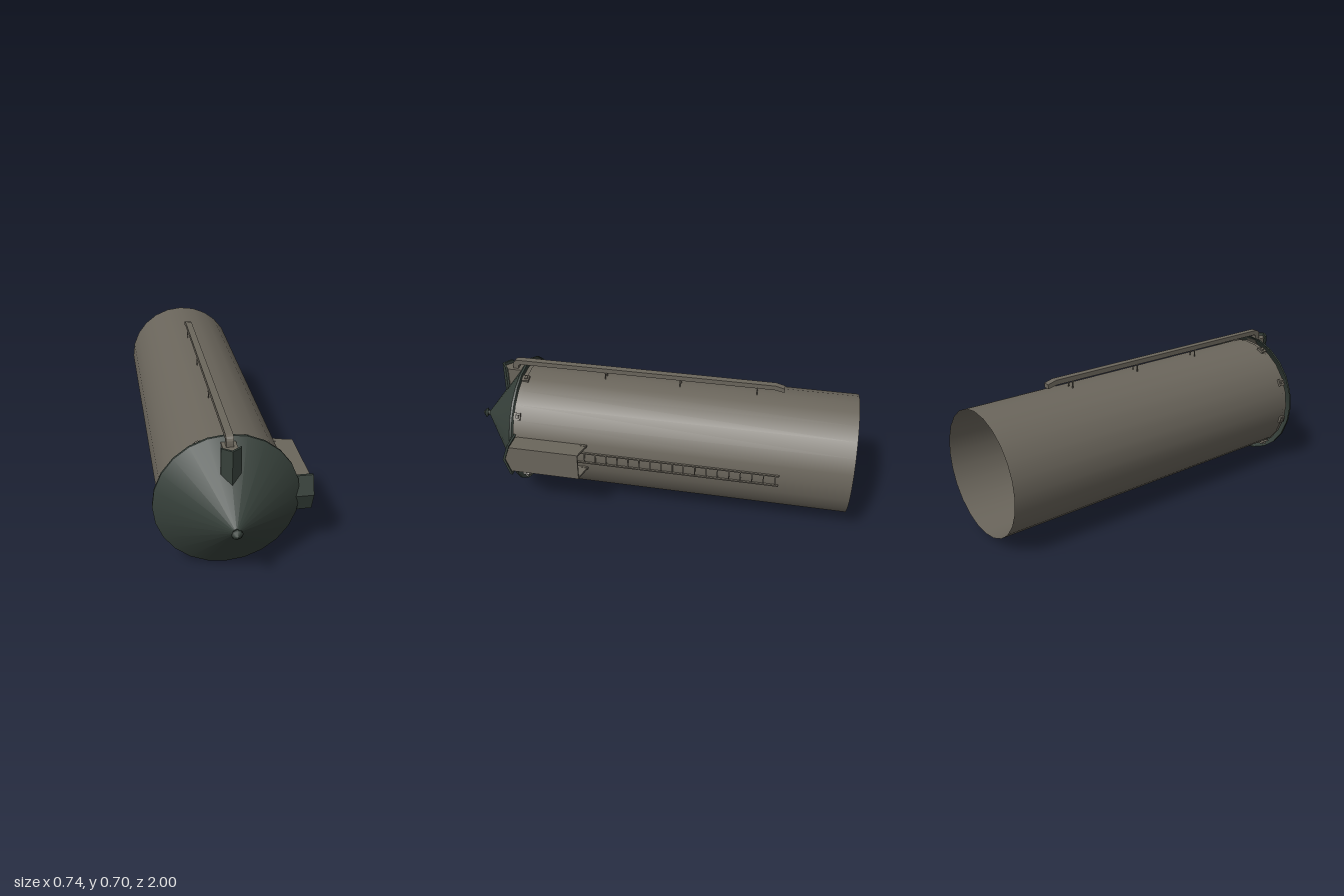
import * as THREE from 'three';

export function createModel() {
  const model = new THREE.Group();
  model.name = 'silo';
  // Silo lies along z: everything is built around its own axis
  const silo = new THREE.Group();
  silo.name = 'siloBody';
  silo.position.set(-0.033, 0.338, 0);
  model.add(silo);

  const metal = new THREE.MeshStandardMaterial({ color: 0x6b665c, side: THREE.DoubleSide });
  metal.name = 'weathered metal';
  const green = new THREE.MeshStandardMaterial({ color: 0x36403a, side: THREE.DoubleSide });
  green.name = 'dark green roof';

  const add = (name, geo, mat, parent = silo) => {
    const mesh = new THREE.Mesh(geo, mat);
    mesh.name = name;
    parent.add(mesh);
    return mesh;
  };
  const box = (name, size, pos, mat, parent) =>
    add(name, new THREE.BoxGeometry(...size), mat, parent).position.set(...pos);
  const shapeOf = pts => new THREE.Shape(pts.map(p => new THREE.Vector2(...p)));
  // Section in (x, z), running along y
  const prism = (pts, y0, y1) =>
    new THREE.ExtrudeGeometry(shapeOf(pts), { depth: y1 - y0, bevelEnabled: false })
      .rotateX(Math.PI / 2).translate(0, y1, 0);
  // Profile in (z, y), with thickness w across x
  const slab = (shape, w, x = 0) =>
    new THREE.ExtrudeGeometry(shape, { depth: w, bevelEnabled: false, curveSegments: 5 })
      .rotateY(-Math.PI / 2).translate(x + w / 2, 0, 0);
  // Gable roof section
  const chevron = (half, ridge, eave, t) => [[-half, eave], [0, ridge], [half, eave],
    [half, eave - t], [0, ridge - t], [-half, eave - t]];

  // Tank wall, open at both ends
  add('tankWall', new THREE.CylinderGeometry(0.305, 0.305, 1.71, 24, 1, true)
    .rotateX(Math.PI / 2).translate(0, 0, -0.145), metal);

  // Conical roof with a thin lip
  const tip = 0.968, base = 0.722, rim = 0.336;
  add('coneRoof', new THREE.CylinderGeometry(0.001, rim, tip - base, 24, 1, true)
    .rotateX(Math.PI / 2).translate(0, 0, (tip + base) / 2), green);
  add('roofLip', new THREE.CylinderGeometry(rim, rim, 0.012, 24, 1, true)
    .rotateX(Math.PI / 2).translate(0, 0, base - 0.006), green);

  // Finial
  const knob = [[0.015, 0.945], [0.015, 0.966], [0.008, 0.973], [0.027, 0.978], [0.019, 0.985], [0.001, 1]];
  add('finial', new THREE.LatheGeometry(knob.map(p => new THREE.Vector2(...p)), 8)
    .rotateX(Math.PI / 2), green);

  // Hoop and clips under the eaves
  add('hoop', new THREE.CylinderGeometry(0.311, 0.311, 0.022, 24, 1, true)
    .rotateX(Math.PI / 2).translate(0, 0, 0.7), metal);
  for (let i = 0; i < 9; i++) {
    const holder = new THREE.Group();
    holder.name = 'eaveClip';
    holder.rotation.z = -THREE.MathUtils.degToRad(16 + 40 * i);
    silo.add(holder);
    box('clipPlate', [0.038, 0.012, 0.036], [0, 0.31, 0.694], metal, holder);
    box('clipLug', [0.018, 0.022, 0.014], [0, 0.313, 0.69], metal, holder);
  }

  // Dormer on the cone: the wall base is moved onto the roof slope
  const wall = prism([[-0.033, 0.7], [0.033, 0.7], [0.033, 0.808], [0, 0.834], [-0.033, 0.808]], 0.22, 0.313);
  const p = wall.attributes.position;
  for (let i = 0; i < p.count; i++)
    if (p.getZ(i) < 0.75) p.setZ(i, tip - p.getY(i) * (tip - base) / rim - 0.004);
  wall.computeVertexNormals();
  add('dormerWall', wall, metal);
  add('dormerRoof', prism(chevron(0.045, 0.85, 0.817, 0.012), 0.16, 0.327), green);

  // Square duct along the top, bent down at both ends
  const duct = new THREE.Shape();
  duct.moveTo(0.785, 0.309);
  duct.lineTo(0.785, 0.328);
  duct.quadraticCurveTo(0.785, 0.362, 0.75, 0.362);
  duct.lineTo(-0.585, 0.362);
  duct.lineTo(-0.63, 0.35);
  duct.lineTo(-0.63, 0.328);
  duct.lineTo(-0.585, 0.338);
  duct.lineTo(0.738, 0.338);
  duct.quadraticCurveTo(0.757, 0.338, 0.757, 0.322);
  duct.lineTo(0.757, 0.309);
  add('duct', slab(duct, 0.034), metal);
  for (const z of [0.285, -0.105, -0.495]) {
    box('ductCollar', [0.04, 0.004, 0.006], [0, 0.337, z], metal);
    for (const x of [-0.017, 0.017])
      box('ductBracket', [0.004, 0.04, 0.005], [x, 0.32, z], metal);
  }

  // Ladder on the left side
  const ladder = new THREE.Group();
  ladder.name = 'ladder';
  silo.add(ladder);
  for (const y of [-0.027, 0.031])
    box('ladderRail', [0.01, 0.006, 1.15], [0.31, y, -0.075], metal, ladder);
  for (let i = 0; i < 20; i++)
    box('ladderRung', [0.005, 0.058, 0.006], [0.31, 0.002, -0.632 + i * 0.0568], metal, ladder);

  // Ladder hood: same frame turned so that its y points outward along +x
  const hood = new THREE.Group();
  hood.name = 'ladderHood';
  hood.rotation.z = -Math.PI / 2;
  silo.add(hood);
  add('hoodOuterWall', prism([[-0.07, 0.345], [0.07, 0.345], [0.07, 0.702], [0, 0.728], [-0.07, 0.702]],
    0.383, 0.393), metal, hood);
  const side = shapeOf([[0.32, 0.295], [0.345, 0.393], [0.703, 0.393], [0.703, 0.295]]);
  for (const s of [-1, 1]) {
    add('hoodSideWall', slab(side, 0.01, s * 0.068), metal, hood);
    box('hoodTrim', [0.014, 0.012, 0.03], [s * 0.068, 0.302, 0.337], metal, hood);
  }
  add('hoodRoof', prism(chevron(0.09, 0.738, 0.706, 0.012), 0.285, 0.4), green, hood);

  return model;
}
